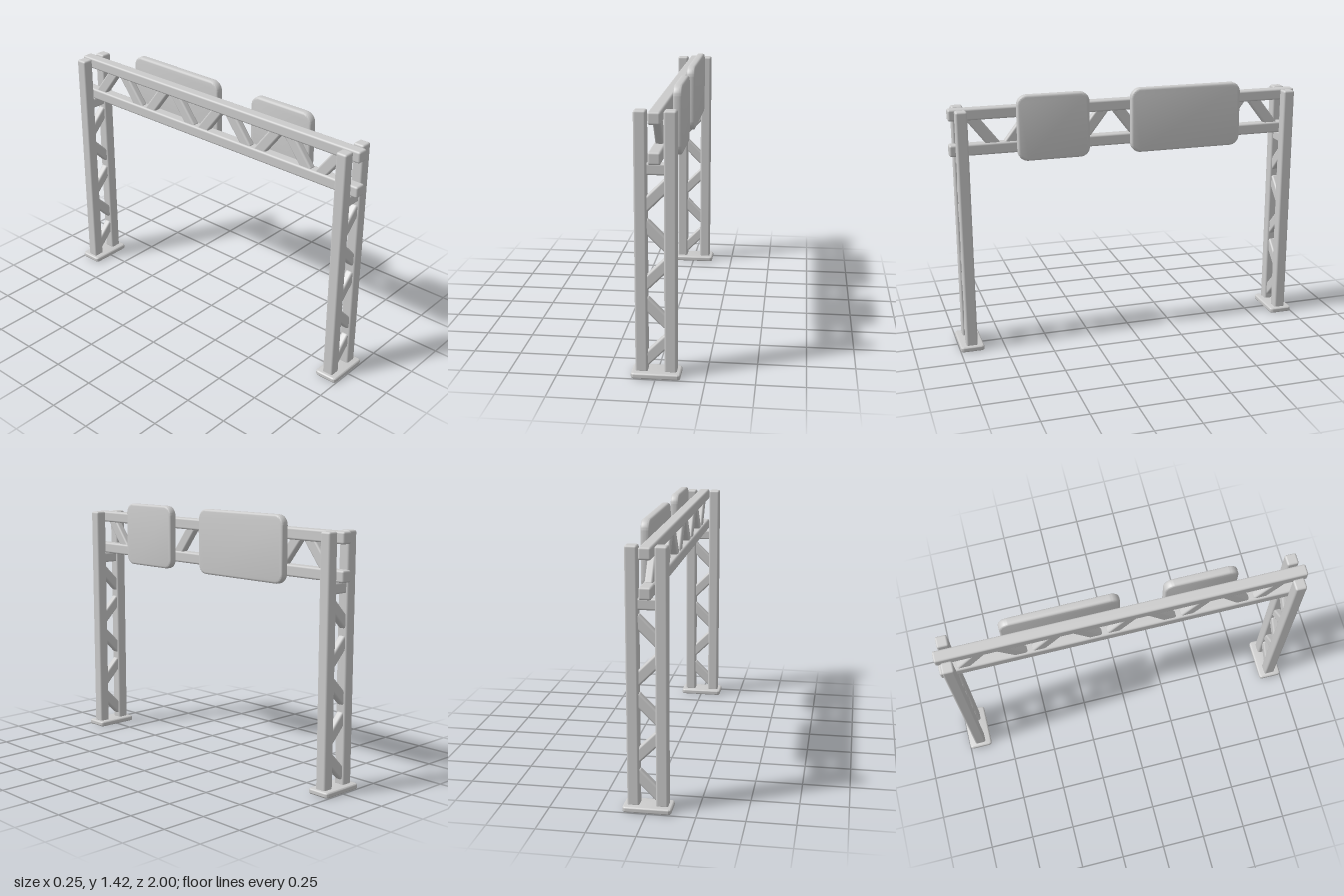
import * as THREE from 'three';
import { toCreasedNormals } from 'three/addons/utils/BufferGeometryUtils.js';
import { RoundedBoxGeometry } from 'three/addons/geometries/RoundedBoxGeometry.js';

const material = new THREE.MeshStandardMaterial({ color: 0xcccccc });

// Bar or post with softened edges, centred on its position
function bar(name, size, position) {
  const mesh = new THREE.Mesh(new RoundedBoxGeometry(...size, 2, 0.011), material);
  mesh.name = name;
  mesh.position.set(...position);
  return mesh;
}

// Flat plate with rounded corners and bevelled rims, lying in xy and centred
function plate(name, w, h, depth, radius, bevel) {
  const x = w / 2 - bevel, y = h / 2 - bevel, r = radius - bevel;
  const s = new THREE.Shape();
  s.absarc(x - r, y - r, r, 0, Math.PI / 2);
  s.absarc(-x + r, y - r, r, Math.PI / 2, Math.PI);
  s.absarc(-x + r, -y + r, r, Math.PI, Math.PI * 1.5);
  s.absarc(x - r, -y + r, r, Math.PI * 1.5, Math.PI * 2);
  s.closePath();
  const geometry = new THREE.ExtrudeGeometry(s, {
    depth: depth - 2 * bevel, bevelThickness: bevel, bevelSize: bevel, bevelSegments: 3, curveSegments: 6,
  });
  geometry.translate(0, 0, bevel - depth / 2);
  const mesh = new THREE.Mesh(toCreasedNormals(geometry, 0.6), material);
  mesh.name = name;
  return mesh;
}

// Base plate, twin posts, zigzag braces and the cross beam that carries the truss
function makeLeg(z) {
  const leg = new THREE.Group();
  leg.name = 'supportLeg';
  leg.position.z = z;
  const base = plate('basePlate', 0.25, 0.132, 0.03, 0.018, 0.009);
  base.rotation.x = -Math.PI / 2;
  base.position.y = 0.015;
  leg.add(base);
  for (const side of [-1, 1]) {
    leg.add(bar('post', [0.063, 1.333, 0.063], [side * 0.0735, 0.688, 0]));
  }
  for (let i = 0; i < 5; i++) {
    const brace = bar('legBrace', [0.06, 0.18, 0.042], [0, 0.137 + i * 0.2, 0]);
    brace.rotation.z = (i % 2 ? 1 : -1) * Math.PI / 4;
    leg.add(brace);
  }
  leg.add(bar('crossBeam', [0.12, 0.06, 0.042], [0, 1.068, 0]));
  return leg;
}

// Two chords joined by alternating diagonals
function makeTruss() {
  const truss = new THREE.Group();
  truss.name = 'overheadTruss';
  truss.add(bar('upperChord', [0.063, 0.063, 1.99], [0, 1.322, 0]));
  truss.add(bar('lowerChord', [0.063, 0.063, 1.99], [0, 1.129, 0]));
  for (let i = 0; i < 9; i++) {
    const diagonal = bar('trussDiagonal', [0.042, 0.22, 0.063], [0, 1.225, 0.81 - i * 0.2025]);
    diagonal.rotation.x = (i % 2 ? -1 : 1) * 0.66;
    truss.add(diagonal);
  }
  return truss;
}

export function createModel() {
  const gantry = new THREE.Group();
  gantry.name = 'signGantry';
  gantry.add(makeLeg(0.934), makeLeg(-0.934), makeTruss());

  // Sign panels on the +x side: [near z, far z]
  for (const [z0, z1] of [[0.636, 0.237], [0.002, -0.638]]) {
    const panel = plate('signPanel', z0 - z1, 0.36, 0.046, 0.055, 0.012);
    panel.rotation.y = Math.PI / 2;
    panel.position.set(0.069, 1.24, (z0 + z1) / 2);
    gantry.add(panel);
  }
  return gantry;
}
